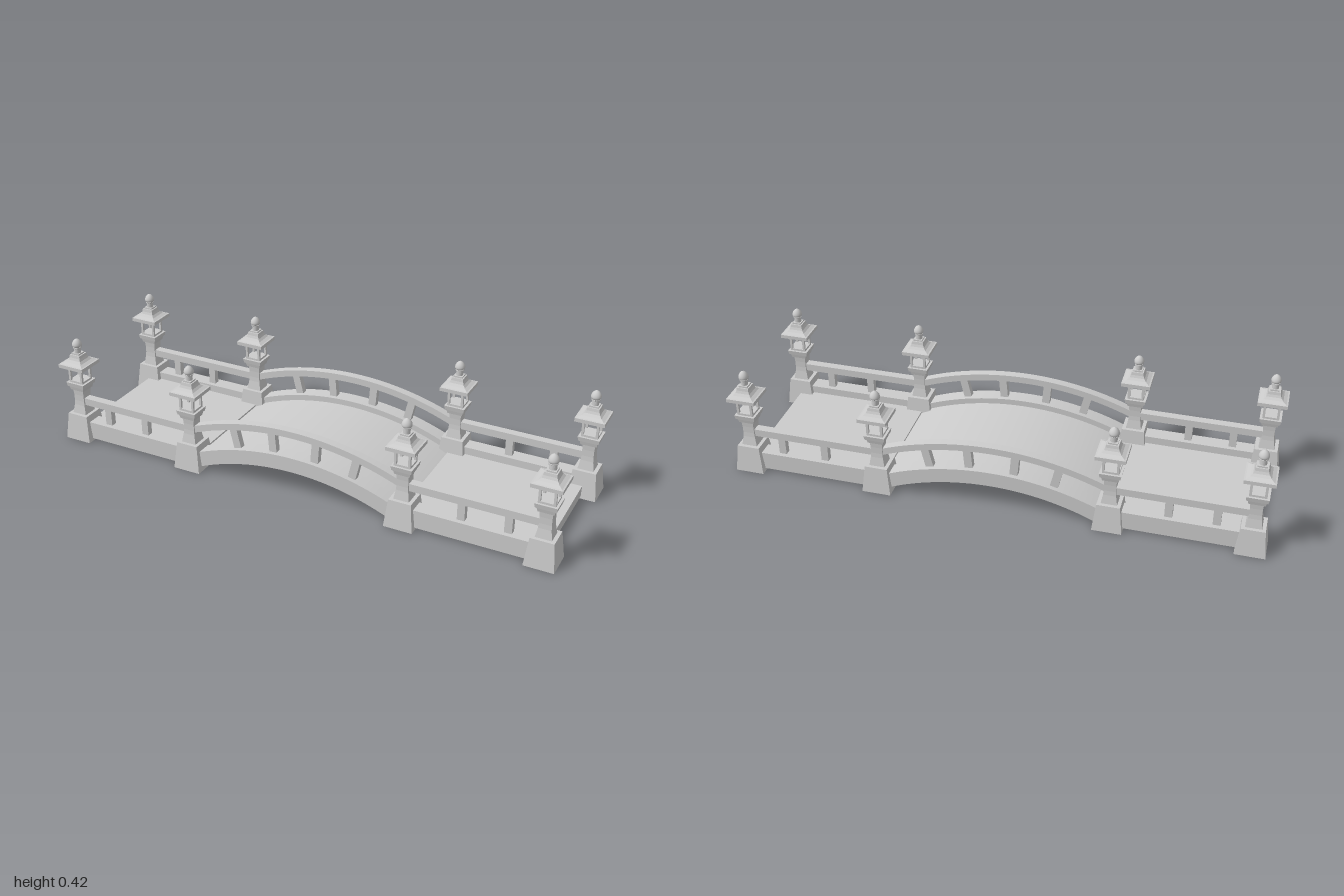
import * as THREE from 'three';

const grey = new THREE.MeshStandardMaterial({ color: 0xcccccc });
const faceted = new THREE.MeshStandardMaterial({ color: 0xcccccc, flatShading: true });

const POST_X = [-0.945, -0.438, 0.433, 0.945];
const SIDE_Z = 0.244;
const ARC_Y = -0.87; // common centre height of all arch curves

function mesh(name, geometry, material = faceted) {
  const m = new THREE.Mesh(geometry, material);
  m.name = name;
  return m;
}

function box(name, w, h, d, x, y, z) {
  const m = mesh(name, new THREE.BoxGeometry(w, h, d));
  m.position.set(x, y, z);
  return m;
}

// Box given by its x and y limits
function span(name, x0, x1, y0, y1, depth, z) {
  return box(name, x1 - x0, y1 - y0, depth, (x0 + x1) / 2, (y0 + y1) / 2, z);
}

// Square tapering solid from [half width, height] pairs, bottom to top
function squareTurned(name, profile) {
  const pts = profile.map(([r, y]) => new THREE.Vector2(r * Math.SQRT2, y));
  const geometry = new THREE.LatheGeometry(pts, 4).rotateY(Math.PI / 4);
  return mesh(name, geometry);
}

// Curved band between two radii, ending at x = +-halfWidth
function archBand(name, inner, outer, halfWidth, depth, z) {
  const a = Math.acos(halfWidth / inner);
  const b = Math.acos(halfWidth / outer);
  const shape = new THREE.Shape();
  shape.absarc(0, ARC_Y, outer, b, Math.PI - b, false);
  shape.absarc(0, ARC_Y, inner, Math.PI - a, a, true);
  const geometry = new THREE.ExtrudeGeometry(shape, { depth, bevelEnabled: false, curveSegments: 40 });
  geometry.translate(0, 0, z - depth / 2);
  return mesh(name, geometry);
}

function lanternPost() {
  const post = new THREE.Group();
  post.name = 'lanternPost';
  post.add(squareTurned('pedestal', [[0, 0], [0.055, 0], [0.043, 0.107], [0, 0.107]]));
  post.add(squareTurned('shaft', [
    [0.03, 0.105], [0.027, 0.122], [0.0235, 0.142], [0.022, 0.16],
    [0.022, 0.185], [0.0235, 0.208],
  ]));
  post.add(squareTurned('capital', [
    [0, 0.208], [0.029, 0.208], [0.033, 0.225], [0.037, 0.225],
    [0.04, 0.242], [0, 0.242],
  ]));

  // Open lantern chamber
  for (const sx of [-1, 1]) for (const sz of [-1, 1]) {
    post.add(box('lanternUpright', 0.009, 0.07, 0.009, sx * 0.0265, 0.275, sz * 0.0265));
  }
  post.add(box('lanternSill', 0.062, 0.009, 0.062, 0, 0.2455, 0));
  post.add(box('lanternLintel', 0.062, 0.008, 0.062, 0, 0.305, 0));

  post.add(squareTurned('roof', [
    [0, 0.308], [0.055, 0.308], [0.055, 0.322], [0.049, 0.323],
    [0.036, 0.329], [0.028, 0.337], [0.024, 0.346], [0.022, 0.357],
    [0.017, 0.357], [0.017, 0.363], [0, 0.363],
  ]));

  // Round finial: collared neck and pointed bud
  const neck = [[0.013, 0.362], [0.013, 0.38], [0.016, 0.382], [0.016, 0.386], [0.012, 0.387]];
  post.add(mesh('finialNeck', new THREE.LatheGeometry(
    neck.map(([r, y]) => new THREE.Vector2(r, y)), 20)));
  const bud = new THREE.SplineCurve([
    [0.011, 0.384], [0.017, 0.389], [0.019, 0.396], [0.016, 0.406], [0.009, 0.415], [0, 0.42],
  ].map(([r, y]) => new THREE.Vector2(r, y))).getPoints(16);
  bud[bud.length - 1].x = 0;
  post.add(mesh('finialBud', new THREE.LatheGeometry(bud, 20), grey));
  return post;
}

export function createModel() {
  const bridge = new THREE.Group();
  bridge.name = 'archedBridge';

  // Walkway: flat approaches and arched middle
  bridge.add(span('leftDeck', 0.42, 0.945, 0.01, 0.05, 0.44, 0));
  bridge.add(span('rightDeck', -0.945, -0.42, 0.01, 0.05, 0.44, 0));
  bridge.add(archBand('archDeck', 0.97, 1.005, 0.42, 0.44, 0));

  for (const side of [-1, 1]) {
    const z = side * SIDE_Z;
    const parapet = new THREE.Group();
    parapet.name = side > 0 ? 'frontParapet' : 'backParapet';

    // Kerbs and handrails of the approaches
    for (const [x0, x1] of [[POST_X[0], POST_X[1]], [POST_X[2], POST_X[3]]]) {
      parapet.add(span('kerb', x0, x1, 0.01, 0.08, 0.058, z));
      parapet.add(span('handrail', x0, x1, 0.145, 0.174, 0.032, z));
    }
    for (const x of [-0.818, -0.648, 0.648, 0.818]) {
      parapet.add(span('baluster', x - 0.014, x + 0.014, 0.075, 0.15, 0.024, z));
    }

    // Arched kerb, handrail and radial balusters
    parapet.add(archBand('archKerb', 0.97, 1.028, 0.42, 0.058, z));
    parapet.add(archBand('archHandrail', 1.103, 1.129, 0.435, 0.032, z));
    for (const x of [-0.242, -0.087, 0.087, 0.242]) {
      const angle = Math.asin(x / 1.066);
      const b = box('archBaluster', 0.03, 0.086, 0.024, x, ARC_Y + 1.066 * Math.cos(angle), z);
      b.rotation.z = -angle;
      parapet.add(b);
    }

    for (const x of POST_X) {
      const post = lanternPost();
      post.position.set(x, 0, z);
      parapet.add(post);
    }
    bridge.add(parapet);
  }
  return bridge;
}
